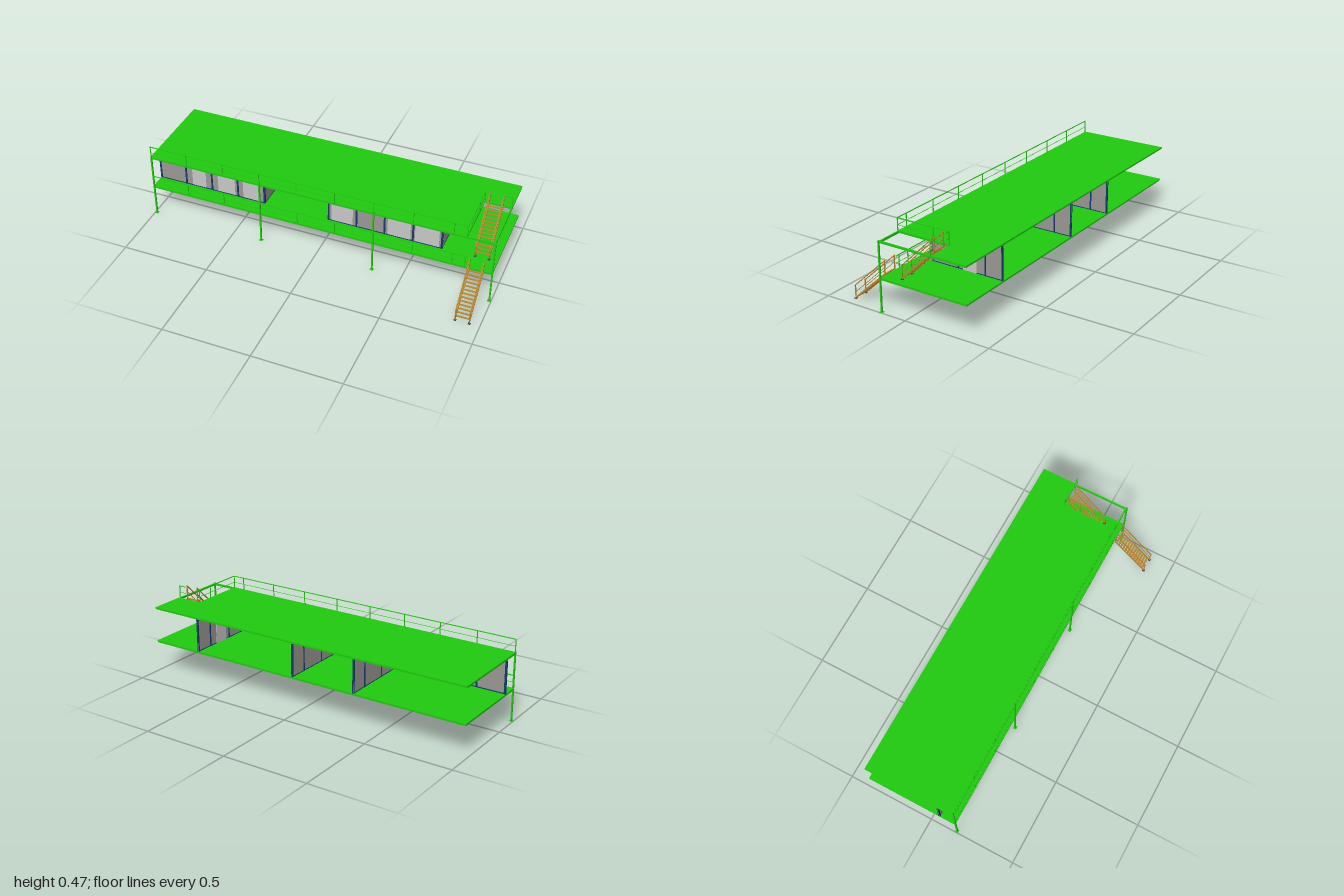
import * as THREE from 'three';

const mat = (name, color, side = THREE.FrontSide) => {
  const m = new THREE.MeshStandardMaterial({ color, side });
  m.name = name;
  return m;
};

export function createModel() {
  const green = mat('green steel', 0x22cc11);
  const navy = mat('navy frame', 0x123a6b);
  const glass = mat('grey glass', 0x9b9995);
  const pale = mat('pale panel', 0xc9c9c9);
  const brown = mat('stair brown', 0xb98732);
  const dark = mat('dark metal', 0x3a3a40);

  const model = new THREE.Group();
  const part = (name, parent = model) => {
    const g = new THREE.Group();
    g.name = name;
    parent.add(g);
    return g;
  };
  // Box given by its limits on each axis
  const box = (g, name, m, x0, x1, y0, y1, z0, z1) => {
    const mesh = new THREE.Mesh(new THREE.BoxGeometry(x1 - x0, y1 - y0, z1 - z0), m);
    mesh.position.set((x0 + x1) / 2, (y0 + y1) / 2, (z0 + z1) / 2);
    mesh.name = name;
    g.add(mesh);
    return mesh;
  };
  // Upright post centred on x, z
  const post = (g, name, m, x, z, y0, y1, w) =>
    box(g, name, m, x - w / 2, x + w / 2, y0, y1, z - w / 2, z + w / 2);
  // Sloping bar in a plane of constant x, between (z, y) points
  const slope = (g, name, m, x, [z0, y0], [z1, y1], w, h) => {
    const mesh = new THREE.Mesh(new THREE.BoxGeometry(w, h, Math.hypot(z1 - z0, y1 - y0)), m);
    mesh.position.set(x, (y0 + y1) / 2, (z0 + z1) / 2);
    mesh.rotation.x = Math.atan2(y1 - y0, z0 - z1);
    mesh.name = name;
    g.add(mesh);
  };

  const L = -0.995, R = 0.99, F = 0.155, B = -0.37;
  const open = { x0: 0.84, z0: -0.165 };

  // Floor and roof: thin deck, edge beams and joists below
  const platform = (name, top, notched) => {
    const g = part(name);
    const outline = notched
      ? [[L, F], [open.x0, F], [open.x0, open.z0], [R, open.z0], [R, B], [L, B]]
      : [[L, F], [R, F], [R, B], [L, B]];
    const shape = new THREE.Shape(outline.map(([x, z]) => new THREE.Vector2(x, -z)));
    const deck = new THREE.Mesh(new THREE.ExtrudeGeometry(shape, { depth: 0.005, bevelEnabled: false }), green);
    deck.rotation.x = -Math.PI / 2;
    deck.position.y = top - 0.005;
    deck.name = 'deck';
    g.add(deck);
    const y0 = top - 0.012, y1 = top - 0.0005;
    box(g, 'frontBeam', green, L, R, y0, y1, F - 0.008, F - 0.0005);
    box(g, 'backBeam', green, L, R, y0, top - 0.004, B + 0.003, B + 0.01);
    box(g, 'endBeam', green, L + 0.0005, L + 0.008, y0, top - 0.004, B + 0.003, F - 0.001);
    box(g, 'endBeam', green, R - 0.008, R - 0.0005, y0, y1, B + 0.003, F - 0.001);
    for (let i = 1; i < 9; i++) {
      const x = -0.99 + i * 0.22;
      box(g, 'joist', green, x - 0.003, x + 0.003, y0 + 0.002, top - 0.004, B + 0.008, F - 0.006);
    }
    if (notched) {
      box(g, 'openingBeam', green, open.x0 - 0.007, open.x0 - 0.0005, y0, top - 0.004, open.z0, F - 0.006);
      box(g, 'openingBeam', green, open.x0, R - 0.006, y0, top - 0.004, open.z0 - 0.007, open.z0 - 0.0005);
    }
  };
  platform('floorSlab', 0.189, false);
  platform('roofSlab', 0.389, true);

  // Front columns on base plates
  const columns = part('columns');
  for (const x of [-0.99, -0.33, 0.33, 0.99]) {
    post(columns, 'column', green, x, F, 0, 0.39, 0.008);
    box(columns, 'basePlate', green, x - 0.01, x + 0.01, 0, 0.002, F - 0.009, F + 0.009);
  }

  // Balcony and roof railings
  const railX = (g, x0, x1, z, y) => {
    box(g, 'topRail', green, x0, x1, y + 0.067, y + 0.071, z - 0.002, z + 0.002);
    box(g, 'midRail', green, x0, x1, y + 0.03, y + 0.032, z - 0.001, z + 0.001);
  };
  for (const [name, y] of [['balconyRailing', 0.189], ['roofRailing', 0.389]]) {
    const g = part(name);
    railX(g, -0.992, 0.842, F, y);
    for (let i = 0; i < 9; i++) post(g, 'railPost', green, -0.99 + i * 0.22, F, y, y + 0.07, 0.004);
    post(g, 'railPost', green, 0.84, F, y, y + 0.07, 0.004);
    if (y > 0.3) {
      // Guard rail around the stair opening
      const x = open.x0;
      box(g, 'sideTopRail', green, x - 0.002, x + 0.002, y + 0.067, y + 0.071, -0.162, F);
      box(g, 'sideMidRail', green, x - 0.001, x + 0.001, y + 0.03, y + 0.032, -0.162, F);
      for (const z of [-0.065, -0.16]) post(g, 'railPost', green, x, z, y, y + 0.07, 0.004);
      railX(g, x, 0.865, -0.16, y);
      railX(g, 0.945, 0.99, -0.16, y);
      post(g, 'railPost', green, 0.988, -0.16, y, y + 0.07, 0.004);
    } else {
      railX(g, 0.842, 0.865, F, y);
    }
  }

  // Glazed walls; the rooms are open at the back
  const Y0 = 0.189, Y1 = 0.377, ZF = 0.06;
  const frontWall = (x0, panels) => {
    const g = part('frontWall');
    const x1 = x0 + 0.655;
    box(g, 'glass', glass, x0, x1, Y0, Y1, ZF - 0.002, ZF + 0.002);
    box(g, 'topFrame', navy, x0, x1, Y1 - 0.007, Y1, ZF - 0.004, ZF + 0.004);
    box(g, 'bottomFrame', navy, x0, x1, Y0, Y0 + 0.005, ZF - 0.004, ZF + 0.004);
    for (let i = 0; i < 5; i++) {
      const x = x0 + 0.005 + i * 0.16125;
      box(g, 'mullion', navy, x - 0.005, x + 0.005, Y0, Y1, ZF - 0.005, ZF + 0.005);
    }
    for (const [a, b, top] of panels) {
      box(g, 'palePanel', pale, a, b, Y0 + 0.005, top, ZF + 0.0015, ZF + 0.003);
    }
  };
  frontWall(-0.995, [[-0.79, -0.705, 0.325], [-0.63, -0.525, 0.333], [-0.475, -0.37, 0.333]]);
  frontWall(0.035, [[0.055, 0.18, 0.333], [0.38, 0.51, 0.333], [0.535, 0.67, 0.333]]);

  const sideWall = (x) => {
    const g = part('sideWall');
    box(g, 'glass', glass, x - 0.002, x + 0.002, Y0, Y1, B, ZF);
    box(g, 'topFrame', navy, x - 0.004, x + 0.004, Y1 - 0.006, Y1, B, ZF);
    box(g, 'bottomFrame', navy, x - 0.004, x + 0.004, Y0, Y0 + 0.004, B, ZF);
    for (const z of [ZF, -0.102, -0.265, B + 0.004]) {
      box(g, 'mullion', navy, x - 0.005, x + 0.005, Y0, Y1, z - 0.004, z + 0.004);
    }
    return g;
  };
  sideWall(-0.345);
  sideWall(0.04);
  const doorWall = sideWall(0.685);
  box(doorWall, 'door', pale, 0.6805, 0.6895, Y0, 0.325, -0.213, -0.129);
  box(doorWall, 'doorHandle', dark, 0.689, 0.696, 0.26, 0.263, -0.206, -0.192);

  // Two steel stair flights with open treads and handrails
  const stair = (name, z0, y0, z1, y1) => {
    const g = part(name);
    const up = 0.073;
    for (const x of [0.867, 0.943]) {
      slope(g, 'stringer', brown, x, [z0, y0 + 0.004], [z1, y1], 0.004, 0.009);
      slope(g, 'handrail', brown, x, [z0 + 0.004, y0 + up - 0.002], [z1 - 0.003, y1 + up + 0.004], 0.005, 0.005);
      slope(g, 'midRail', brown, x, [z0, y0 + up / 2], [z1, y1 + up / 2 + 0.002], 0.003, 0.003);
      post(g, 'stairPost', brown, x, z0, y0, y0 + up, 0.005);
      post(g, 'stairPost', brown, x, z1, y1 - 0.003, y1 + up + 0.003, 0.005);
      box(g, 'footPlate', dark, x - 0.007, x + 0.007, y0, y0 + 0.002, z0 - 0.007, z0 + 0.007);
    }
    const n = 13;
    for (let i = 1; i <= n; i++) {
      const t = i / (n + 0.5);
      const z = z0 + (z1 - z0) * t, y = y0 + (y1 - y0) * t + 0.004;
      box(g, 'tread', brown, 0.866, 0.944, y - 0.0015, y + 0.0015, z - 0.005, z + 0.005);
    }
  };
  stair('lowerStair', 0.363, 0, 0.163, 0.187);
  stair('upperStair', 0.054, 0.189, -0.148, 0.389);

  return model;
}
